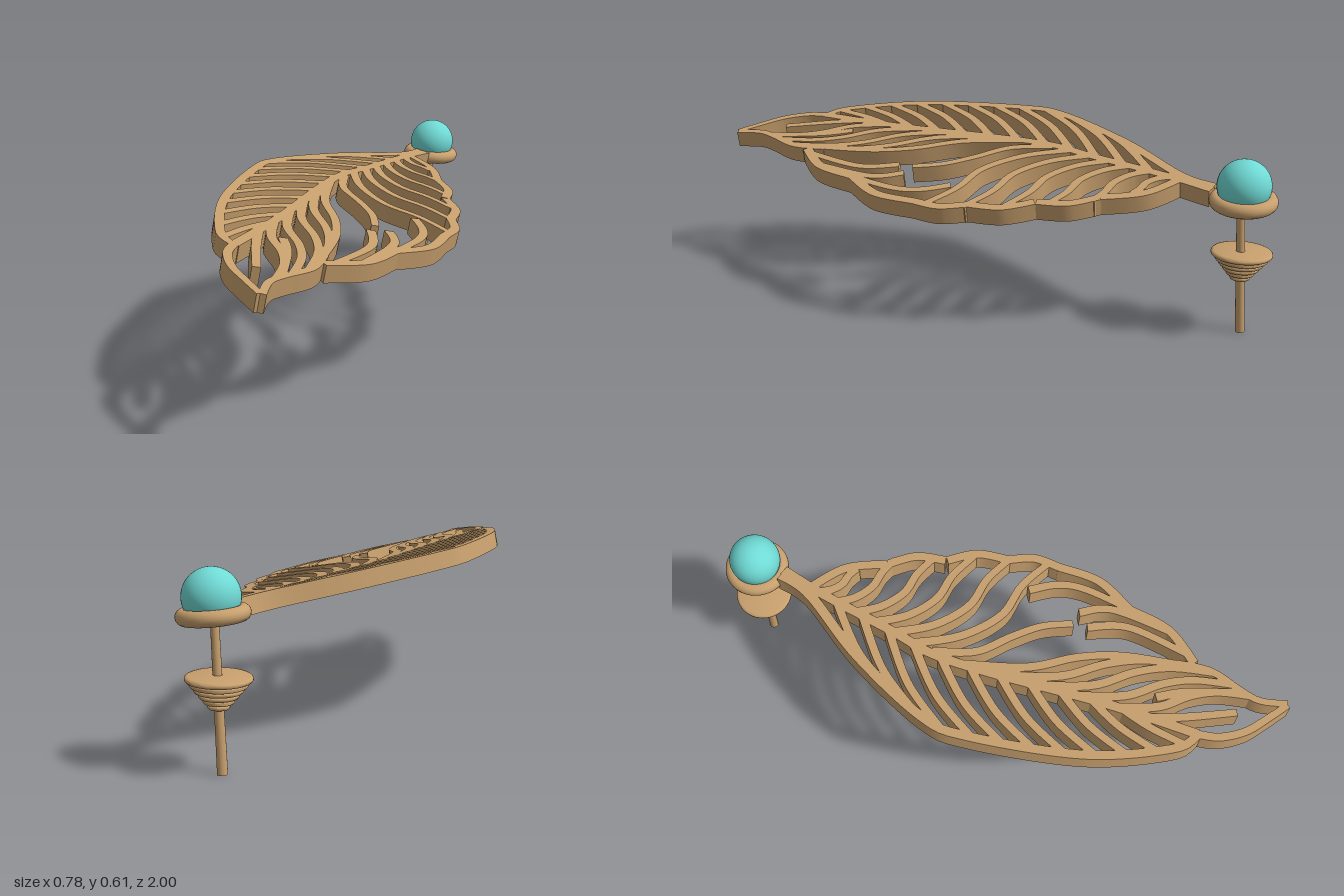
import * as THREE from 'three';
import { mergeGeometries, toCreasedNormals } from 'three/addons/utils/BufferGeometryUtils.js';

const THICK = 0.058, TILT = 0.2;
const curve = (pts) => new THREE.SplineCurve(pts.map(([x, z]) => new THREE.Vector2(x, z)));

// A flat strip along a curve in the x-z plane, tapering from w0 to w1.
// bias moves the strip sideways by that many half widths.
function ribbon(path, w0, w1, bias = 0, n = 22) {
  const a = [], b = [];
  for (let i = 0; i <= n; i++) {
    const t = i / n, p = path.getPointAt(t), d = path.getTangentAt(t);
    const h = THREE.MathUtils.lerp(w0, w1, t) / 2;
    const side = (k) => new THREE.Vector2((p.x - d.y * h * k) / Math.cos(TILT), -(p.y + d.x * h * k));
    a.push(side(bias + 1));
    b.unshift(side(bias - 1));
  }
  const g = new THREE.ExtrudeGeometry(new THREE.Shape([...a, ...b]), { depth: THICK, bevelEnabled: false });
  g.rotateX(-Math.PI / 2);
  g.translate(0, -THICK / 2, 0);
  return toCreasedNormals(g, 0.6);
}

// A curve from p to q whose inner points are given as fractions of the way in x and z
function sweep(p, q, fractions) {
  const inner = fractions.map(([fx, fz]) => [p.x + (q.x - p.x) * fx, p.y + (q.y - p.y) * fz]);
  return curve([[p.x, p.y], ...inner, [q.x, q.y]]);
}

// count strips, each made by a rule from its index
const strips = (count, make) => mergeGeometries(Array.from({ length: count }, (_, i) => make(i)));

export function createModel() {
  const gold = new THREE.MeshStandardMaterial({ color: 0xc8a06e });
  gold.name = 'gold';
  const turquoise = new THREE.MeshStandardMaterial({ color: 0x70dad5 });
  turquoise.name = 'turquoise';

  const model = new THREE.Group();
  model.name = 'leafEarring';
  const add = (name, geo, mat, parent = model) => {
    const m = new THREE.Mesh(geo, mat);
    m.name = name;
    parent.add(m);
    return m;
  };

  // Leaf: tilted so its left side hangs lower
  const leaf = new THREE.Group();
  leaf.name = 'leaf';
  leaf.position.y = 0.484;
  leaf.rotation.z = -TILT;
  model.add(leaf);

  const midrib = curve([[0.065, -0.79], [0.01, -0.63], [-0.065, -0.35], [-0.11, -0.2],
    [-0.125, 0], [-0.13, 0.4], [-0.155, 0.72]]);
  const smoothRim = curve([[0.025, -0.8], [-0.02, -0.68], [-0.2, -0.45], [-0.36, -0.17],
    [-0.387, 0], [-0.345, 0.38], [-0.24, 0.66], [-0.165, 0.73]]);
  add('midrib', ribbon(midrib, 0.035, 0.035, 0, 50), gold, leaf);
  add('smoothRim', ribbon(smoothRim, 0.036, 0.03, -1, 60), gold, leaf);

  // Wavy rim: one outward bulge between each pair of neighbouring points
  const wavyRim = curve([[0.03, -0.69], [0.205, -0.46], [0.28, -0.265], [0.347, -0.055],
    [0.368, 0.13], [0.265, 0.41], [0.115, 0.67]]);
  const nodes = wavyRim.points;
  add('wavyRim', strips(nodes.length - 1, (i) => {
    const p = nodes[i], q = nodes[i + 1];
    const mid = [(p.x + q.x) / 2 + (q.y - p.y) * 0.12, (p.y + q.y) / 2 - (q.x - p.x) * 0.12];
    return ribbon(curve([[p.x, p.y], mid, [q.x, q.y]]), 0.034, 0.034, 0.8);
  }), gold, leaf);

  // Leaf tip outline
  const tipLeft = curve([[-0.155, 0.72], [-0.145, 0.79], [-0.1, 0.87], [-0.03, 0.935], [0.035, 0.99]]);
  const tipRight = curve([[0.085, 0.6], [0.09, 0.72], [0.045, 0.83], [0.025, 0.9], [0.04, 0.99]]);
  add('tipLeftEdge', ribbon(tipLeft, 0.03, 0.024), gold, leaf);
  add('tipRightEdge', ribbon(tipRight, 0.03, 0.024), gold, leaf);

  // Dense veins between the midrib and the smooth rim
  add('denseVeins', strips(11, (i) => {
    const q = smoothRim.getPointAt(0.37 + 0.059 * i);
    q.x += 0.015;
    return ribbon(sweep(midrib.getPointAt(0.15 + 0.068 * i), q, [[0.58, 0.45]]), 0.03, 0.026);
  }), gold, leaf);

  // Open S-shaped veins to the wavy rim
  const bend = [[0.16, 0.4], [0.42, 0.7], [0.72, 0.8]];
  add('upperVeins', strips(6, (i) => ribbon(
    sweep(midrib.getPointAt(0.1 + 0.05 * i), wavyRim.getPointAt(0.12 + 0.092 * i), bend), 0.034, 0.026)), gold, leaf);

  // Long veins sweeping down towards the tip
  const droop = [[0.25, 0.31], [0.66, 0.53], [0.9, 0.74]];
  add('lowerVeins', strips(5, (i) => ribbon(
    sweep(midrib.getPointAt(0.47 + 0.088 * i), tipRight.getPointAt(0.17 * i), droop), 0.034, 0.026)), gold, leaf);

  // Veins with one free end
  const loose = [
    [[-0.1, -0.2], [-0.06, -0.06], [0.03, 0.04], [0.1, 0.13], [0.14, 0.23]],
    [[0.23, 0.05], [0.28, 0.14], [0.29, 0.24], [0.25, 0.42]],
    [[0.19, 0.24], [0.235, 0.35], [0.2, 0.57]],
    [[0.14, 0.28], [0.18, 0.42], [0.13, 0.64]],
    [[-0.06, 0.56], [-0.01, 0.66], [0.04, 0.84]],
    [[-0.14, 0.56], [-0.1, 0.68], [-0.04, 0.83]],
  ];
  add('looseVeins', strips(loose.length, (i) => ribbon(curve(loose[i]), 0.032, 0.026)), gold, leaf);

  // Bead and the ring it sits in
  const bead = add('bead', new THREE.SphereGeometry(0.087, 48, 32), turquoise);
  bead.position.set(0.072, 0.523, -0.892);
  const ring = add('ring', new THREE.TorusGeometry(0.086, 0.024, 16, 56).rotateX(Math.PI / 2), gold);
  ring.position.set(0.067, 0.472, -0.892);
  ring.rotation.z = -0.08;

  // Post, leaning slightly
  const foot = new THREE.Vector3(0.038, 0.001, -0.911), head = new THREE.Vector3(0.068, 0.46, -0.885);
  const axis = head.clone().sub(foot);
  const post = add('post', new THREE.CylinderGeometry(0.013, 0.016, axis.length(), 24), gold);
  post.position.copy(foot).add(head).multiplyScalar(0.5);
  post.quaternion.setFromUnitVectors(new THREE.Vector3(0, 1, 0), axis.normalize());

  // Stepped nut: rounded tiers growing upward
  const tiers = 6, step = 0.1 / tiers, profile = [new THREE.Vector2(0, 0)];
  for (let i = 0; i < tiers; i++) {
    const r = 0.033 + 0.0134 * i;
    for (const [inset, k] of [[0.01, 0], [0.003, 0.08], [0, 0.3], [0, 0.65], [0.003, 0.88], [0.01, 1]]) {
      profile.push(new THREE.Vector2(r - inset, (i + k) * step));
    }
  }
  profile.push(new THREE.Vector2(0, 0.1));
  const nut = add('nut', toCreasedNormals(new THREE.LatheGeometry(profile, 48), 0.7), gold);
  nut.position.set(0.053, 0.195, -0.898);
  nut.rotation.z = 0.035;

  return model;
}
